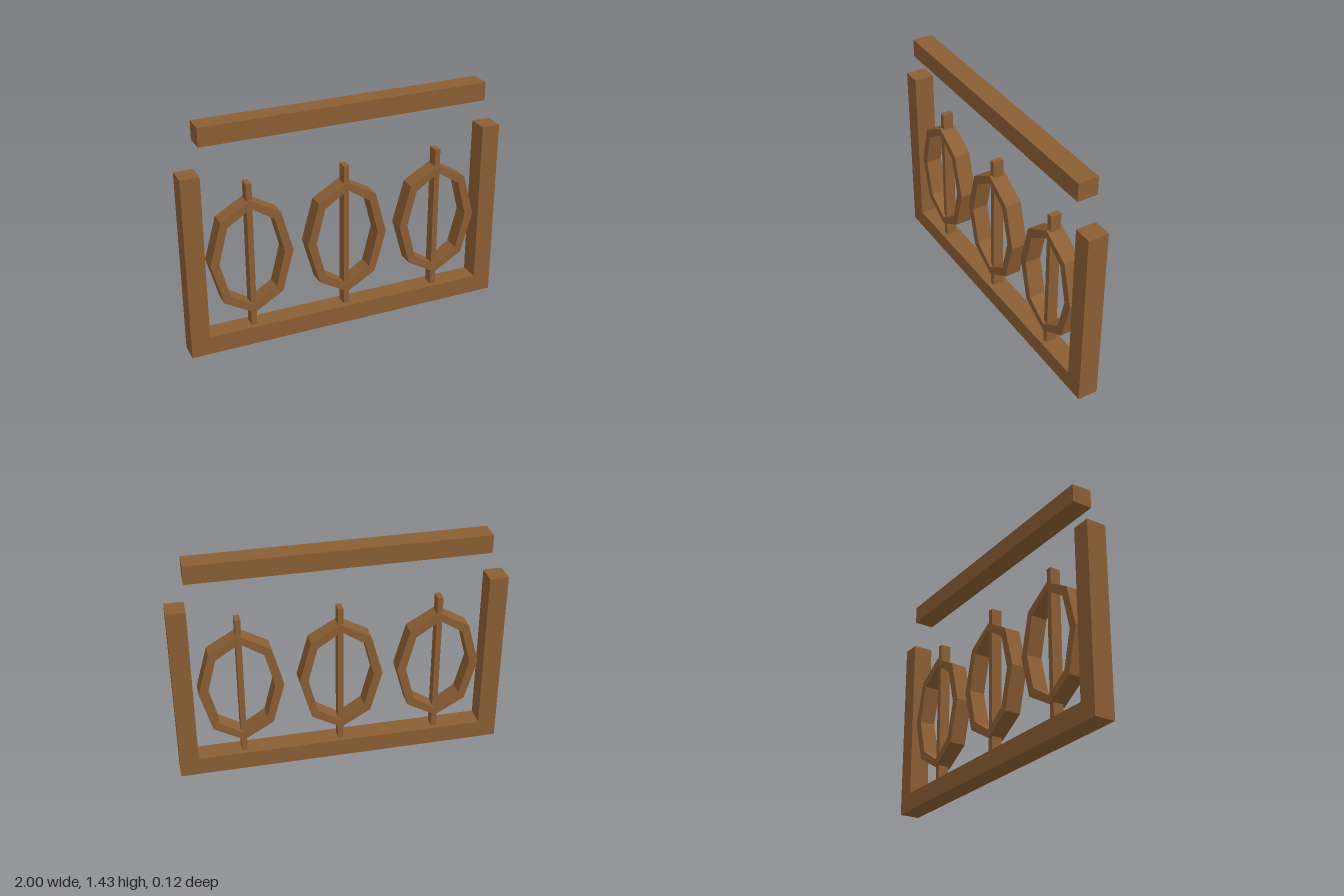
import * as THREE from 'three';

const wood = new THREE.MeshStandardMaterial({ color: 0x8b5e34 });
wood.name = 'brown wood';

const DEPTH = 0.125;

// Box spanning x0..x1 and y0..y1, centred on z = 0
function beam(name, x0, x1, y0, y1, depth = DEPTH) {
  const mesh = new THREE.Mesh(new THREE.BoxGeometry(x1 - x0, y1 - y0, depth), wood);
  mesh.position.set((x0 + x1) / 2, (y0 + y1) / 2, 0);
  mesh.name = name;
  return mesh;
}

// Eight-sided outline mirrored from one quadrant: side, corner, top
function octagon(side, cornerX, cornerY, top) {
  return [
    [side, 0], [cornerX, cornerY], [0, top], [-cornerX, cornerY],
    [-side, 0], [-cornerX, -cornerY], [0, -top], [cornerX, -cornerY],
  ].map(([x, y]) => new THREE.Vector2(x, y));
}

function ringGeometry(depth) {
  const shape = new THREE.Shape(octagon(0.254, 0.182, 0.261, 0.367));
  shape.holes.push(new THREE.Path(octagon(0.2, 0.143, 0.222, 0.317)));
  const geometry = new THREE.ExtrudeGeometry(shape, { depth, bevelEnabled: false });
  return geometry.translate(0, 0, -depth / 2);
}

export function createModel() {
  const model = new THREE.Group();
  model.name = 'railing';

  // Frame
  model.add(beam('bottomRail', -0.886, 0.886, 0, 0.114));
  model.add(beam('topRail', -0.886, 0.886, 1.317, 1.43));
  model.add(beam('rightPost', -1, -0.886, 0, 1.143));
  model.add(beam('leftPost', 0.886, 1, 0, 1.143));

  // Balusters with faceted oval rings
  const ringShape = ringGeometry(0.1);
  for (const x of [-0.6, 0, 0.6]) {
    const baluster = new THREE.Group();
    baluster.name = 'baluster';
    baluster.position.x = x;
    const ring = new THREE.Mesh(ringShape, wood);
    ring.name = 'ovalRing';
    ring.position.y = 0.573;
    baluster.add(beam('balusterBar', -0.017, 0.017, 0.11, 1.037, 0.066), ring);
    model.add(baluster);
  }
  return model;
}
